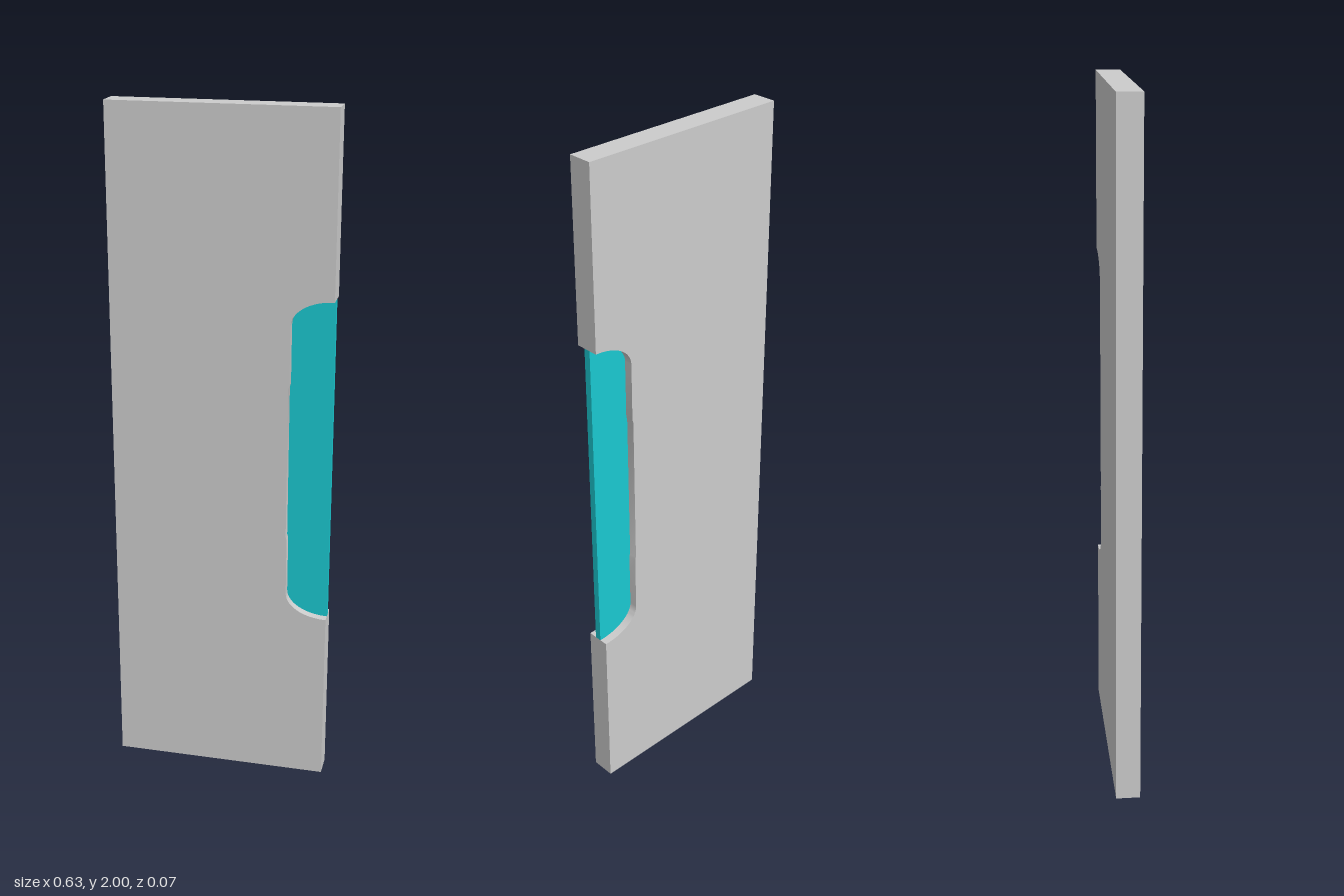
import * as THREE from 'three';
import { toCreasedNormals } from 'three/addons/utils/BufferGeometryUtils.js';

const W = 0.317, H = 2, DEPTH = 0.07, PANE_DEPTH = 0.02;
const MID = 1.005, HALF = 0.48, SIDE = 0.405, INNER = 0.197;

// Edge of the side cut-out, traced from its top end to its bottom end
function traceCutout(shape) {
  shape.bezierCurveTo(0.25, MID + HALF, INNER, MID + 0.447, INNER, MID + SIDE);
  shape.lineTo(INNER, MID + 0.235);
  shape.lineTo(INNER - 0.003, MID + 0.225);
  shape.lineTo(INNER - 0.003, MID - 0.225);
  shape.lineTo(INNER, MID - 0.235);
  shape.lineTo(INNER, MID - SIDE);
  shape.bezierCurveTo(INNER, MID - 0.447, 0.25, MID - HALF, W, MID - HALF);
}

function slab(name, shape, depth, color) {
  const extruded = new THREE.ExtrudeGeometry(shape, { depth, bevelEnabled: false, curveSegments: 16 });
  extruded.translate(0, 0, -depth / 2);
  const mesh = new THREE.Mesh(
    toCreasedNormals(extruded, Math.PI / 6),
    new THREE.MeshStandardMaterial({ color })
  );
  mesh.name = name;
  return mesh;
}

export function createModel() {
  const model = new THREE.Group();
  model.name = 'doorPanel';

  // Flat door leaf with a rounded cut-out in one long edge
  const leaf = new THREE.Shape();
  leaf.moveTo(-W, 0);
  leaf.lineTo(-W, H);
  leaf.lineTo(W, H);
  leaf.lineTo(W, MID + HALF);
  traceCutout(leaf);
  leaf.lineTo(W, 0);
  leaf.closePath();
  model.add(slab('doorLeaf', leaf, DEPTH, 0xcccccc));

  // Thin window pane filling the cut-out
  const pane = new THREE.Shape();
  pane.moveTo(W, MID + HALF);
  traceCutout(pane);
  pane.closePath();
  model.add(slab('windowPane', pane, PANE_DEPTH, 0x1ac8d0));

  return model;
}
